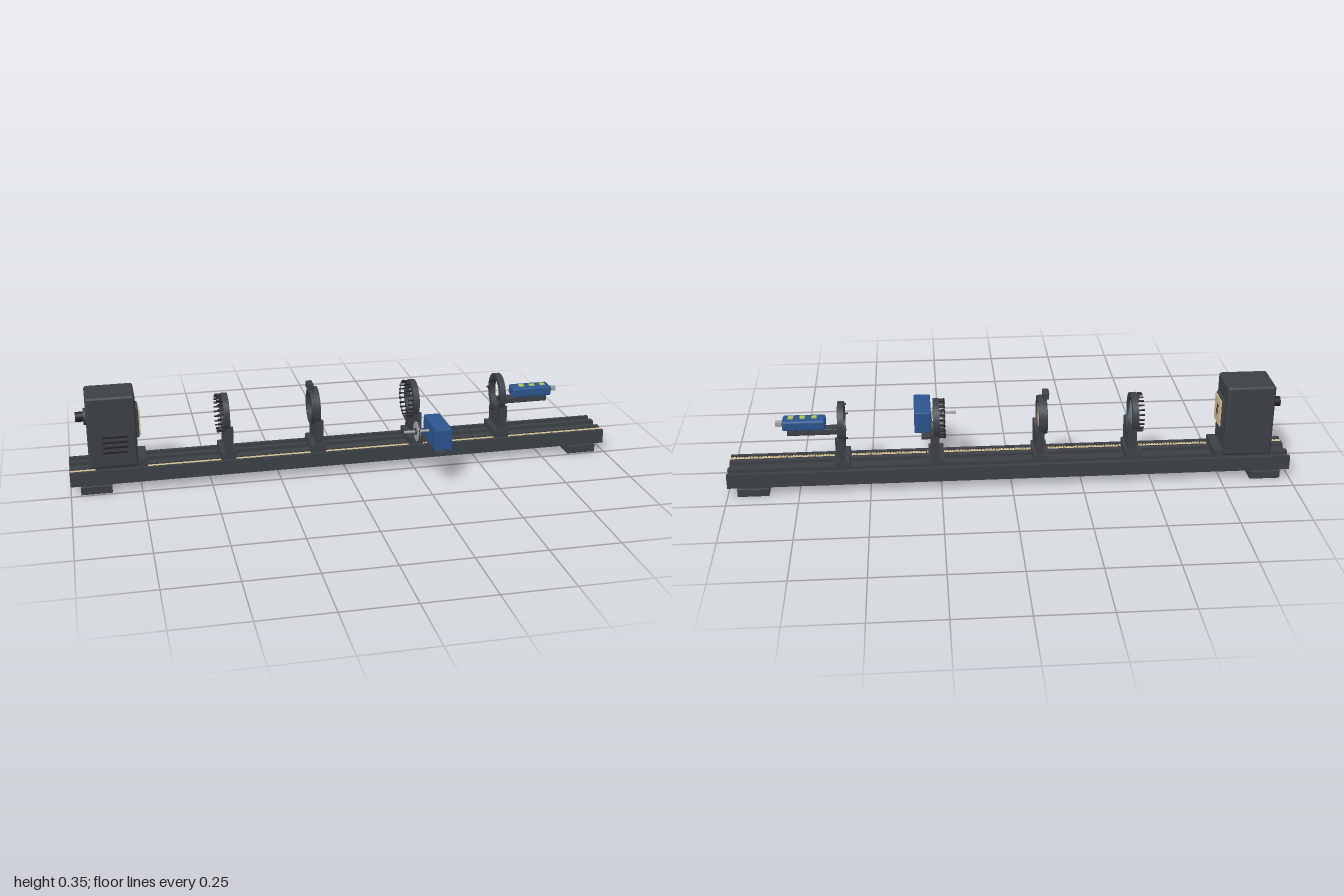
import * as THREE from 'three';
import { mergeGeometries } from 'three/addons/utils/BufferGeometryUtils.js';
import { RoundedBoxGeometry } from 'three/addons/geometries/RoundedBoxGeometry.js';

const ZC = -0.099; // bench centre line
const AXIS = 0.238; // optical axis height

function material(name, color) {
  const m = new THREE.MeshStandardMaterial({ color });
  m.name = name;
  return m;
}

export function createModel() {
  const dark = material('dark metal', 0x3c4146);
  const black = material('black', 0x202326);
  const blue = material('blue housing', 0x2c5590);
  const tan = material('tan plate', 0xd3be90);
  const grey = material('grey metal', 0xa0a3a6);
  const green = material('green button', 0xb4c84e);
  const glass = material('glass', 0x6f8c94);

  const model = new THREE.Group();
  model.name = 'opticalBench';

  function add(parent, name, geo, mat, x = 0, y = 0, z = 0) {
    const mesh = new THREE.Mesh(geo, mat);
    mesh.name = name;
    mesh.position.set(x, y, z);
    parent.add(mesh);
    return mesh;
  }
  // box given by its limits on each axis
  function block(parent, name, mat, x0, x1, y0, y1, z0, z1, r = 0) {
    const s = [x1 - x0, y1 - y0, z1 - z0];
    const geo = r ? new RoundedBoxGeometry(...s, 3, r) : new THREE.BoxGeometry(...s);
    return add(parent, name, geo, mat, (x0 + x1) / 2, (y0 + y1) / 2, (z0 + z1) / 2);
  }
  // cylinder lying along x
  const rod = (r, len, seg = 32) => new THREE.CylinderGeometry(r, r, len, seg).rotateZ(Math.PI / 2);
  // shape in (z, y) thickened along x about its centre
  function slab(shape, t) {
    return new THREE.ExtrudeGeometry(shape, { depth: t, bevelEnabled: false, curveSegments: 48 })
      .translate(0, 0, -t / 2).rotateY(-Math.PI / 2);
  }
  function annulus(ro, ri, t) {
    const s = new THREE.Shape().absarc(0, 0, ro, 0, Math.PI * 2);
    s.holes.push(new THREE.Path().absarc(0, 0, ri, 0, Math.PI * 2, true));
    return slab(s, t);
  }

  // Rail with four ridges and two feet
  const rail = new THREE.Group();
  rail.name = 'rail';
  model.add(rail);
  block(rail, 'railBody', dark, -1, 1, 0.03, 0.07, -0.181, -0.017);
  for (const [z0, z1] of [[-0.03, -0.017], [-0.079, -0.056], [-0.141, -0.118], [-0.181, -0.167]])
    block(rail, 'railRidge', dark, -1, 1, 0.07, 0.082, z0, z1);
  for (const s of [-1, 1])
    block(rail, 'foot', dark, s * 0.91 - 0.055, s * 0.91 + 0.055, 0, 0.03, -0.19, -0.008, 0.002);

  // Scale strip with graduations
  block(rail, 'scaleStrip', tan, -0.998, 0.998, 0.07, 0.077, -0.056, -0.03);
  const ticks = [];
  for (let i = -98; i <= 98; i++) {
    const len = i % 10 === 0 ? 0.016 : i % 5 === 0 ? 0.011 : 0.007;
    ticks.push(new THREE.BoxGeometry(0.0025, 0.001, len).translate(i / 100, 0.0774, -0.031 - len / 2));
  }
  add(rail, 'scaleTicks', mergeGeometries(ticks), black);

  // Lamp housing
  const lamp = new THREE.Group();
  lamp.name = 'lamp';
  model.add(lamp);
  block(lamp, 'lampHousing', dark, -0.93, -0.757, 0.088, 0.353, -0.174, -0.024, 0.01);
  block(lamp, 'lampCarrier', dark, -0.91, -0.725, 0.08, 0.108, -0.163, -0.034);
  for (let i = 0; i < 4; i++)
    block(lamp, 'ventSlat', black, -0.877, -0.79, 0.144 + i * 0.019, 0.15 + i * 0.019, -0.026, -0.0215);
  add(lamp, 'knobFlange', rod(0.03, 0.008), dark, -0.934, 0.263, ZC);
  add(lamp, 'knob', rod(0.018, 0.032), black, -0.95, 0.263, ZC);
  block(lamp, 'slideFrame', dark, -0.758, -0.747, 0.186, 0.29, ZC - 0.046, ZC + 0.046);
  block(lamp, 'slidePlate', tan, -0.749, -0.742, 0.19, 0.286, ZC - 0.041, ZC + 0.041);
  block(lamp, 'objectMark', black, -0.743, -0.7405, 0.218, 0.26, ZC - 0.003, ZC + 0.003);
  block(lamp, 'objectMark', black, -0.743, -0.7405, 0.23, 0.236, ZC - 0.015, ZC + 0.013);
  block(lamp, 'objectMark', black, -0.743, -0.7405, 0.252, 0.258, ZC - 0.013, ZC + 0.003);

  // Carrier with a cradle post and a ring
  const cradle = new THREE.Shape();
  const notch = 0.06, top = -0.038;
  const a = Math.asin(top / notch);
  cradle.moveTo(-0.06, -0.135);
  cradle.lineTo(0.06, -0.135);
  cradle.lineTo(0.06, top);
  cradle.lineTo(notch * Math.cos(a), top);
  cradle.absarc(0, 0, notch, a, -Math.PI - a, true);
  cradle.lineTo(-0.06, top);
  cradle.closePath();
  const lensProfile = [[0, -0.009], [0.02, -0.0075], [0.038, -0.004], [0.054, 0], [0.038, 0.004], [0.02, 0.0075], [0, 0.009]]
    .map(([r, h]) => new THREE.Vector2(r, h));

  function holder(name, x) {
    const g = new THREE.Group();
    g.name = name;
    g.position.set(x, AXIS, ZC);
    model.add(g);
    block(g, 'carrier', dark, -0.027, 0.027, -0.158, -0.13, -0.065, 0.065);
    add(g, 'cradlePost', slab(cradle, 0.022), dark, 0.005);
    for (const s of [-1, 1])
      block(g, 'postRib', dark, -0.01, 0.02, -0.13, top, s * 0.054 - 0.006, s * 0.054 + 0.006);
    add(g, 'ring', annulus(0.072, 0.053, 0.022), dark, -0.002);
    return g;
  }
  function pins(g, count, r, x0, x1) {
    const list = [];
    for (let i = 0; i < count; i++) {
      const t = (i / count) * Math.PI * 2 + Math.PI / 2;
      list.push(rod(0.0035, x1 - x0, 8).translate((x0 + x1) / 2, r * Math.sin(t), r * Math.cos(t)));
    }
    add(g, 'rimPins', mergeGeometries(list), black);
  }

  // Two lens holders with rim pins
  const lensHolders = [['firstLensHolder', -0.435], ['secondLensHolder', 0.265]].map(([n, x]) => {
    const g = holder(n, x);
    add(g, 'lens', new THREE.LatheGeometry(lensProfile, 40).rotateZ(-Math.PI / 2), glass);
    pins(g, 24, 0.067, -0.034, -0.01);
    return g;
  });

  // Filter holder with tan disc and top clamp
  const filter = holder('filterHolder', -0.105);
  add(filter, 'filterDisc', rod(0.054, 0.008, 40), tan);
  add(filter, 'frontRim', annulus(0.066, 0.05, 0.01), dark, -0.017);
  block(filter, 'topClamp', dark, -0.03, -0.008, 0.068, 0.094, -0.02, 0.02, 0.003);

  // Detector holder
  const det = holder('detectorHolder', 0.597);
  pins(det, 4, 0.066, -0.022, -0.012);
  const detector = new THREE.Group();
  detector.name = 'detector';
  model.add(detector);
  block(detector, 'detectorShelf', dark, 0.6, 0.785, 0.196, 0.218, ZC - 0.02, ZC + 0.02, 0.003);
  block(detector, 'detectorBody', blue, 0.65, 0.8, 0.219, 0.256, ZC - 0.031, ZC + 0.031, 0.008);
  block(detector, 'plug', grey, 0.798, 0.824, 0.23, 0.245, ZC - 0.011, ZC + 0.011);
  for (let i = 0; i < 3; i++)
    block(detector, 'button', green, 0.68 + i * 0.041, 0.698 + i * 0.041, 0.254, 0.2595, ZC - 0.008, ZC + 0.012);

  // Motor on a side shelf with pulley
  const motor = new THREE.Group();
  motor.name = 'motorDrive';
  model.add(motor);
  const py = 0.177, pz = 0.08, px = 0.235;
  block(motor, 'motorShelf', dark, 0.276, 0.316, 0.128, 0.135, -0.04, 0.192);
  block(motor, 'motorBody', blue, 0.28, 0.341, 0.131, 0.212, 0.005, 0.171, 0.004);
  add(motor, 'axle', rod(0.005, 0.095, 16), grey, 0.235, py, pz);
  add(motor, 'pulleyHub', rod(0.013, 0.014, 24), dark, px, py, pz);
  add(motor, 'pulley', rod(0.036, 0.007, 40), grey, px, py, pz);

  // Belt around the pulley and the second lens ring
  const dz = ZC - pz, dy = AXIS - py, r1 = 0.0375, r2 = 0.0705;
  const phi = Math.atan2(dy, dz);
  const beta = Math.acos((r1 - r2) / Math.hypot(dz, dy));
  const pts = [];
  const arc = (cz, cy, r, t0, t1) => {
    for (let i = 0; i <= 24; i++) {
      const t = t0 + ((t1 - t0) * i) / 24;
      pts.push(new THREE.Vector3(px, cy + r * Math.sin(t), cz + r * Math.cos(t)));
    }
  };
  const straight = (p, q) => {
    for (let i = 1; i < 12; i++) pts.push(p.clone().lerp(q, i / 12));
  };
  arc(ZC, AXIS, r2, phi - beta, phi + beta);
  const ringEnd = pts[pts.length - 1], ringStart = pts[0];
  const pulleyStart = new THREE.Vector3(px, py + r1 * Math.sin(phi + beta), pz + r1 * Math.cos(phi + beta));
  straight(ringEnd, pulleyStart);
  arc(pz, py, r1, phi + beta, phi - beta + Math.PI * 2);
  straight(pts[pts.length - 1], ringStart);
  const path = new THREE.CatmullRomCurve3(pts, true);
  add(motor, 'belt', new THREE.TubeGeometry(path, 160, 0.0013, 6, true), black);

  return model;
}
